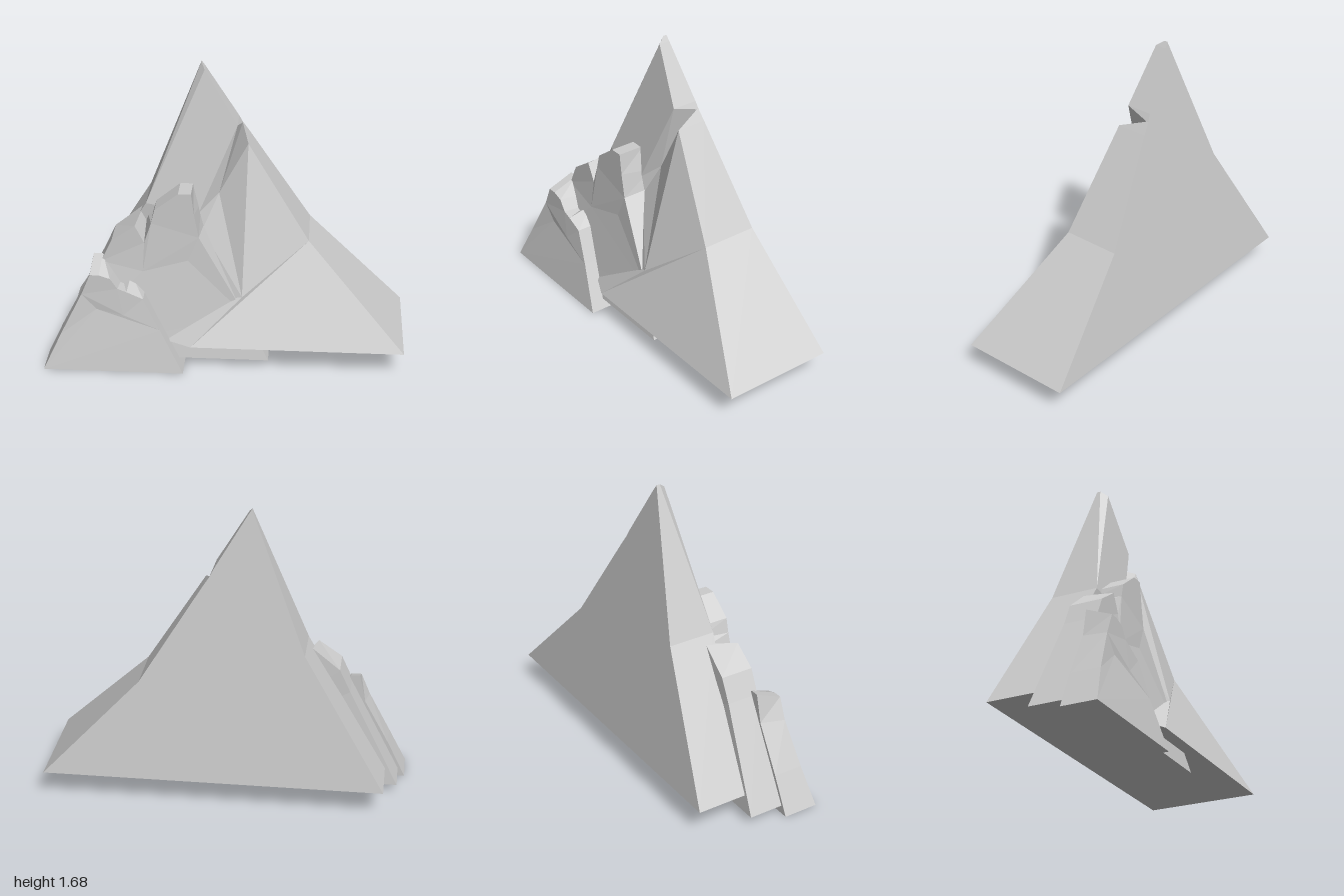
import * as THREE from 'three';

const material = new THREE.MeshStandardMaterial({ color: 0xcccccc, flatShading: true });

// Piecewise linear depth by height: stops are [y, z] pairs
function depth(stops) {
  return (y) => {
    if (y <= stops[0][0]) return stops[0][1];
    for (let i = 1; i < stops.length; i++) {
      const [y0, z0] = stops[i - 1], [y1, z1] = stops[i];
      if (y <= y1) return z0 + ((z1 - z0) * (y - y0)) / (y1 - y0);
    }
    return stops[stops.length - 1][1];
  };
}

// Rock slab: the first `rim` points run counter-clockwise round the outline,
// the rest lie on the front. A point is { p: [x, y], z: front depth, b: [x, y] on the back }.
function slab(name, points, rim, faces, zFront, zBack) {
  const front = points.map(({ p, z }) => new THREE.Vector3(p[0], p[1], z ?? zFront(p[1])));
  const back = points.slice(0, rim).map(({ p, b = p }) => new THREE.Vector3(b[0], b[1], zBack(b[1])));
  const out = [];
  const tri = (...corners) => corners.forEach((v) => out.push(v.x, v.y, v.z));
  const fill = (ring, flip) => {
    const flat = ring.map((v) => new THREE.Vector2(v.x, v.y));
    for (const [a, b, c] of THREE.ShapeUtils.triangulateShape(flat, [])) {
      if (flip) tri(ring[a], ring[c], ring[b]);
      else tri(ring[a], ring[b], ring[c]);
    }
  };
  faces.forEach((face) => fill(face.map((i) => front[i]), false));
  fill(back, true);
  for (let i = 0; i < rim; i++) {
    const j = (i + 1) % rim;
    tri(front[i], back[i], back[j]);
    tri(front[i], back[j], front[j]);
  }
  const geometry = new THREE.BufferGeometry();
  geometry.setAttribute('position', new THREE.Float32BufferAttribute(out, 3));
  geometry.computeVertexNormals();
  const mesh = new THREE.Mesh(geometry, material);
  mesh.name = name;
  return mesh;
}

export function createModel() {
  const group = new THREE.Group();
  group.name = 'mountain';

  // Tall rear peak with a wedge-shaped cleft on its right shoulder
  group.add(slab('mainPeak', [
    { p: [-0.89, 0.15], z: -0.05 }, { p: [-0.18, 0.15] }, { p: [1, 0.15] },
    { p: [0.46, 0.71] }, { p: [0.12, 1.25] }, { p: [0.08, 1.31], z: -0.17 },
    { p: [0.06, 1.35] }, { p: [-0.12, 1.65] }, { p: [-0.14, 1.68] }, { p: [-0.44, 0.9] },
    { p: [-0.13, 0.75], z: 0.04 }, { p: [-0.15, 0.85] },
    { p: [-0.04, 0.95], z: -0.02 }, { p: [0.1, 0.42], z: 0.2 },
  ], 10, [
    [0, 1, 13, 10, 11, 9], [1, 2, 3, 13], [13, 3, 4, 12, 10], [12, 4, 5],
    [12, 5, 6], [12, 6, 11], [10, 12, 11], [11, 6, 7, 9], [7, 8, 9],
  ],
  depth([[0.15, 0.305], [0.71, 0.06], [1.25, -0.015], [1.65, -0.07], [1.68, -0.11]]),
  depth([[0.15, -0.34], [1.68, -0.13]])));

  // Middle ridge with a square tower and a notch
  group.add(slab('middleRidge', [
    { p: [-0.96, 0.05] }, { p: [0.25, 0.05] }, { p: [0.12, 0.31] },
    { p: [-0.14, 0.76], b: [-0.115, 0.78] }, { p: [-0.165, 0.9], b: [-0.14, 0.88] },
    { p: [-0.18, 1.02] }, { p: [-0.25, 1.02] }, { p: [-0.38, 0.92] },
    { p: [-0.4, 0.84], b: [-0.4, 0.86] }, { p: [-0.44, 0.72], b: [-0.44, 0.82] },
    { p: [-0.49, 0.82], b: [-0.46, 0.86] }, { p: [-0.62, 0.73] }, { p: [-0.68, 0.6] },
    { p: [-0.45, 0.55], z: 0.175 }, { p: [-0.2, 0.62], z: 0.165 },
  ], 13, [
    [0, 1, 2, 14, 13, 12], [12, 13, 9, 10, 11],
    [13, 14, 3, 4, 5, 6, 7, 8, 9], [14, 2, 3],
  ],
  depth([[0.05, 0.25], [0.6, 0.16]]),
  depth([[0.05, -0.06], [0.3, -0.02], [0.85, -0.03], [1.02, 0]])));

  // Low front ridge with a small tower
  group.add(slab('frontRidge', [
    { p: [-1, 0] }, { p: [-0.22, 0] }, { p: [-0.35, 0.25] }, { p: [-0.44, 0.43] },
    { p: [-0.53, 0.47], b: [-0.52, 0.51] }, { p: [-0.58, 0.49], b: [-0.57, 0.48] },
    { p: [-0.62, 0.55], b: [-0.61, 0.54] }, { p: [-0.68, 0.57], b: [-0.675, 0.63] },
    { p: [-0.73, 0.57], b: [-0.725, 0.63] }, { p: [-0.78, 0.45], b: [-0.76, 0.47] },
    { p: [-0.9, 0.21] },
    { p: [-0.7, 0.36], z: 0.275 }, { p: [-0.55, 0.33], z: 0.285 },
  ], 11, [
    [0, 1, 2, 12, 11, 10], [10, 11, 12, 2, 3, 4, 5, 6, 7, 8, 9],
  ],
  depth([[0, 0.34], [0.38, 0.275]]),
  depth([[0, 0.14], [0.6, 0.125]])));

  return group;
}
